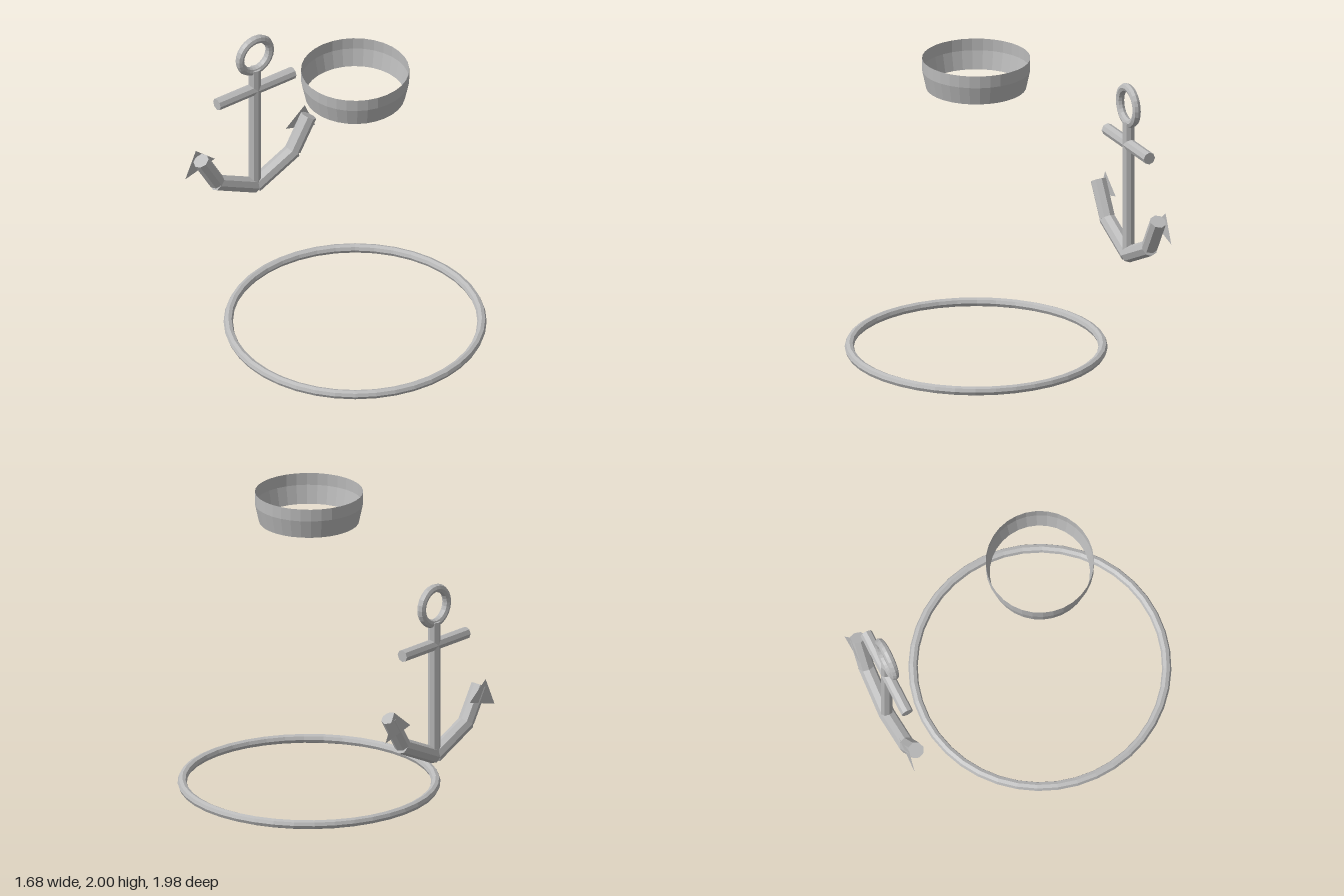
import * as THREE from 'three';

export function createModel() {
  const model = new THREE.Group();
  const metal = new THREE.MeshStandardMaterial({ color: 0xbababa, flatShading: true, side: THREE.DoubleSide });
  metal.name = 'light grey metal';

  function add(parent, name, geometry, x = 0, y = 0, z = 0) {
    const mesh = new THREE.Mesh(geometry, metal);
    mesh.name = name;
    mesh.position.set(x, y, z);
    parent.add(mesh);
    return mesh;
  }

  // Eight-sided bar between two points in the anchor's plane
  function bar(parent, name, [x0, y0], [x1, y1], radius) {
    const length = Math.hypot(x1 - x0, y1 - y0);
    const mesh = add(parent, name, new THREE.CylinderGeometry(radius, radius, length, 8),
      (x0 + x1) / 2, (y0 + y1) / 2);
    mesh.rotation.z = Math.atan2(y1 - y0, x1 - x0) - Math.PI / 2;
  }

  // Large hoop lying on the ground
  const hoop = add(model, 'groundHoop', new THREE.TorusGeometry(0.81, 0.03, 8, 40), 0, 0.03, 0.15);
  hoop.rotation.x = Math.PI / 2;

  // Open band: straight above, tapering below
  const profile = [[0.32, 1.8], [0.346, 1.92], [0.346, 2]].map(([r, y]) => new THREE.Vector2(r, y));
  add(model, 'taperedBand', new THREE.LatheGeometry(profile, 32), 0, 0, 0.15);

  // Anchor
  const anchor = new THREE.Group();
  anchor.name = 'anchor';
  anchor.position.z = -0.937;
  model.add(anchor);
  add(anchor, 'anchorRing', new THREE.TorusGeometry(0.118, 0.028, 8, 24), 0, 1.49, 0);
  bar(anchor, 'shank', [0, 0.48], [0, 1.385], 0.04);
  bar(anchor, 'crossbar', [-0.3, 1.228], [0.3, 1.228], 0.04);

  // Mirrored arms, with flat triangular flukes on their back
  for (const side of [1, -1]) {
    const prefix = side > 0 ? 'left' : 'right';
    bar(anchor, prefix + 'LowerArm', [0, 0.475], [side * 0.308, 0.622], 0.053);
    bar(anchor, prefix + 'UpperArm', [side * 0.3, 0.625], [side * 0.425, 0.84], 0.053);
    const fluke = new THREE.Shape([[0.43, 0.89], [0.28, 0.767], [0.513, 0.703]]
      .map(([x, y]) => new THREE.Vector2(side * x, y)));
    add(anchor, prefix + 'Fluke', new THREE.ShapeGeometry(fluke), 0, 0, -0.05);
  }
  return model;
}
